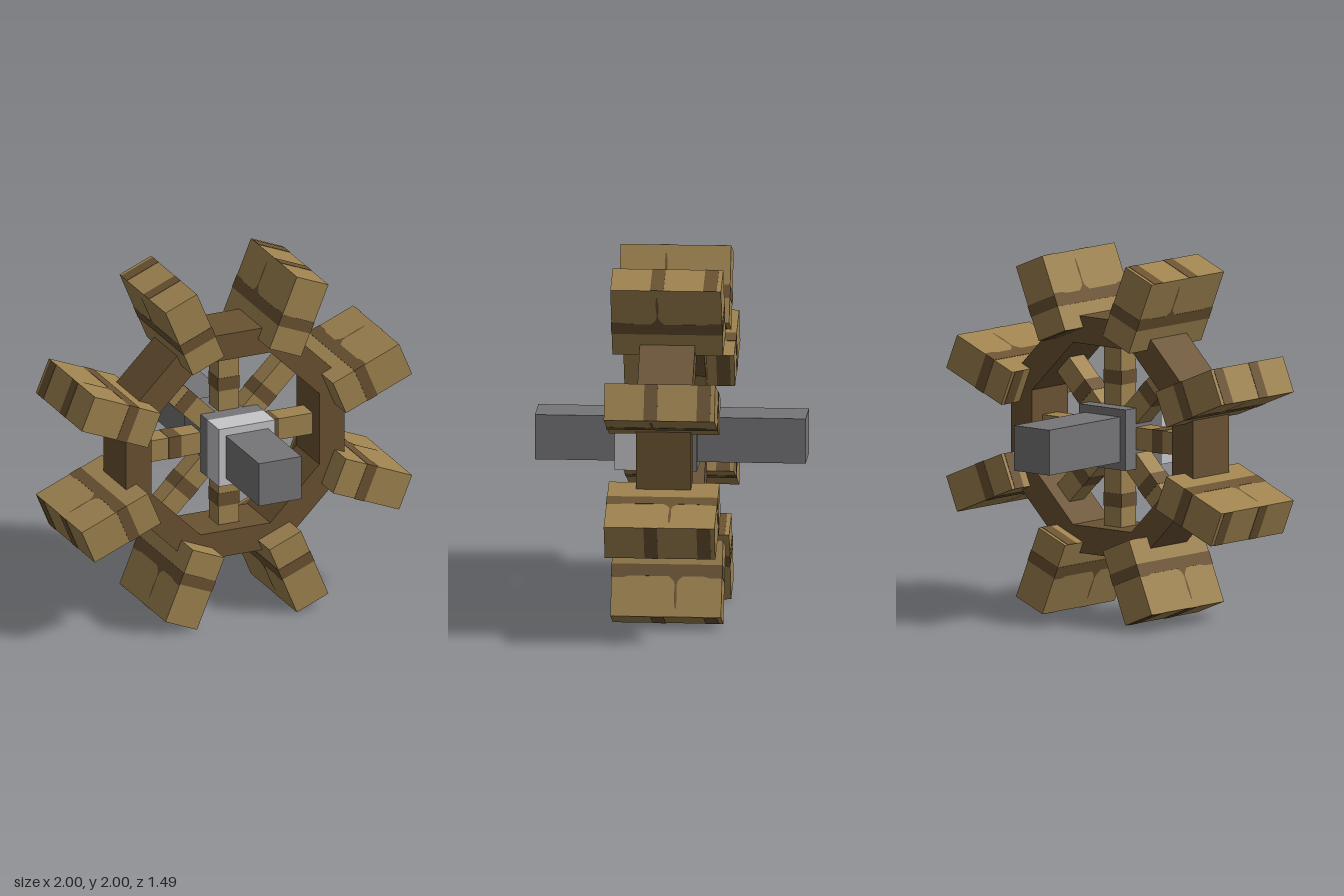
import * as THREE from 'three';

const mat = (name, color) => {
  const m = new THREE.MeshStandardMaterial({ color });
  m.name = name;
  return m;
};

export function createModel() {
  const wood = mat('light wood', 0x9f8350);
  const darkWood = mat('dark wood', 0x6a5232);
  const steel = mat('grey metal', 0x767678);
  const paleSteel = mat('pale metal', 0xc6c6ca);

  const model = new THREE.Group();
  model.name = 'paddleWheel';
  const wheel = new THREE.Group();
  wheel.name = 'wheel';
  wheel.position.y = 1;
  model.add(wheel);

  const add = (parent, name, geometry, material) => {
    const mesh = new THREE.Mesh(geometry, material);
    mesh.name = name;
    parent.add(mesh);
    return mesh;
  };
  // Box given by its extents along each axis
  const box = (parent, name, material, [x0, x1], [y0, y1], [z0, z1]) => {
    const g = new THREE.BoxGeometry(x1 - x0, y1 - y0, z1 - z0);
    g.translate((x0 + x1) / 2, (y0 + y1) / 2, (z0 + z1) / 2);
    return add(parent, name, g, material);
  };
  const span = (h) => [-h, h];

  // Octagonal rim with flat top
  const octagon = (apothem) => Array.from({ length: 8 }, (_, i) => {
    const a = (i + 0.5) * Math.PI / 4, r = apothem / Math.cos(Math.PI / 8);
    return new THREE.Vector2(r * Math.cos(a), r * Math.sin(a));
  });
  const rimShape = new THREE.Shape(octagon(0.66));
  rimShape.holes.push(new THREE.Path(octagon(0.507)));
  const rimGeo = new THREE.ExtrudeGeometry(rimShape, { depth: 0.304, bevelEnabled: false });
  rimGeo.translate(0, 0, -0.152);
  add(wheel, 'rim', rimGeo, darkWood);

  // Axle and hub
  box(wheel, 'axle', steel, span(0.128), span(0.126), span(0.746));
  box(wheel, 'hub', steel, span(0.17), span(0.17), [-0.15, 0.155]);
  box(wheel, 'hubFront', paleSteel, span(0.17), span(0.17), [0.155, 0.305]);

  // Spokes, each with one grain band, counter-clockwise from the left side
  const bandAt = [0.265, 0.31, 0.325, 0.365, 0.325, 0.36, 0.36, 0.335];
  bandAt.forEach((r, i) => {
    const spoke = new THREE.Group();
    spoke.name = 'spoke';
    spoke.rotation.z = i * Math.PI / 4;
    wheel.add(spoke);
    box(spoke, 'spokeBeam', wood, [0.15, 0.515], span(0.0625), span(0.0625));
    box(spoke, 'spokeBand', darkWood, [r - 0.038, r + 0.038], span(0.0645), span(0.0645));
  });

  // Ragged grain edge with a thin crack running outward
  const grain = new THREE.Shape([
    [0.80, -0.305], [0.82, -0.305], [0.82, -0.24], [0.81, -0.21], [0.81, 0.01],
    [0.835, 0.038], [0.86, 0.046], [0.93, 0.042], [0.99, 0.048], [0.99, 0.055],
    [0.93, 0.058], [0.86, 0.054], [0.835, 0.062], [0.81, 0.09], [0.81, 0.2],
    [0.82, 0.24], [0.82, 0.305], [0.80, 0.305],
  ].map(([x, y]) => new THREE.Vector2(x, y)));
  const grainGeo = new THREE.ShapeGeometry(grain);
  grainGeo.rotateX(-Math.PI / 2);
  grainGeo.translate(0, 0.105, 0);

  // Paddles over the rim corners: x is radial, y tangential
  for (let i = 0; i < 8; i++) {
    const paddle = new THREE.Group();
    paddle.name = 'paddle';
    paddle.rotation.z = (i + 0.5) * Math.PI / 4;
    wheel.add(paddle);
    box(paddle, 'paddleBlock', wood, [0.605, 1.037], span(0.103), span(0.305));
    box(paddle, 'paddleBand', darkWood, [0.744, 0.81], span(0.105), span(0.307));
    add(paddle, 'grain', grainGeo, darkWood);
    add(paddle, 'grain', grainGeo, darkWood).rotation.x = Math.PI;
    // Stripes on the outer and inner ends
    for (const z of [[0.012, 0.086], [-0.281, -0.206]]) {
      box(paddle, 'outerEndStripe', darkWood, [1.035, 1.039], span(0.103), z);
      box(paddle, 'innerEndStripe', darkWood, [0.603, 0.607], span(0.103), z);
    }
  }
  return model;
}
